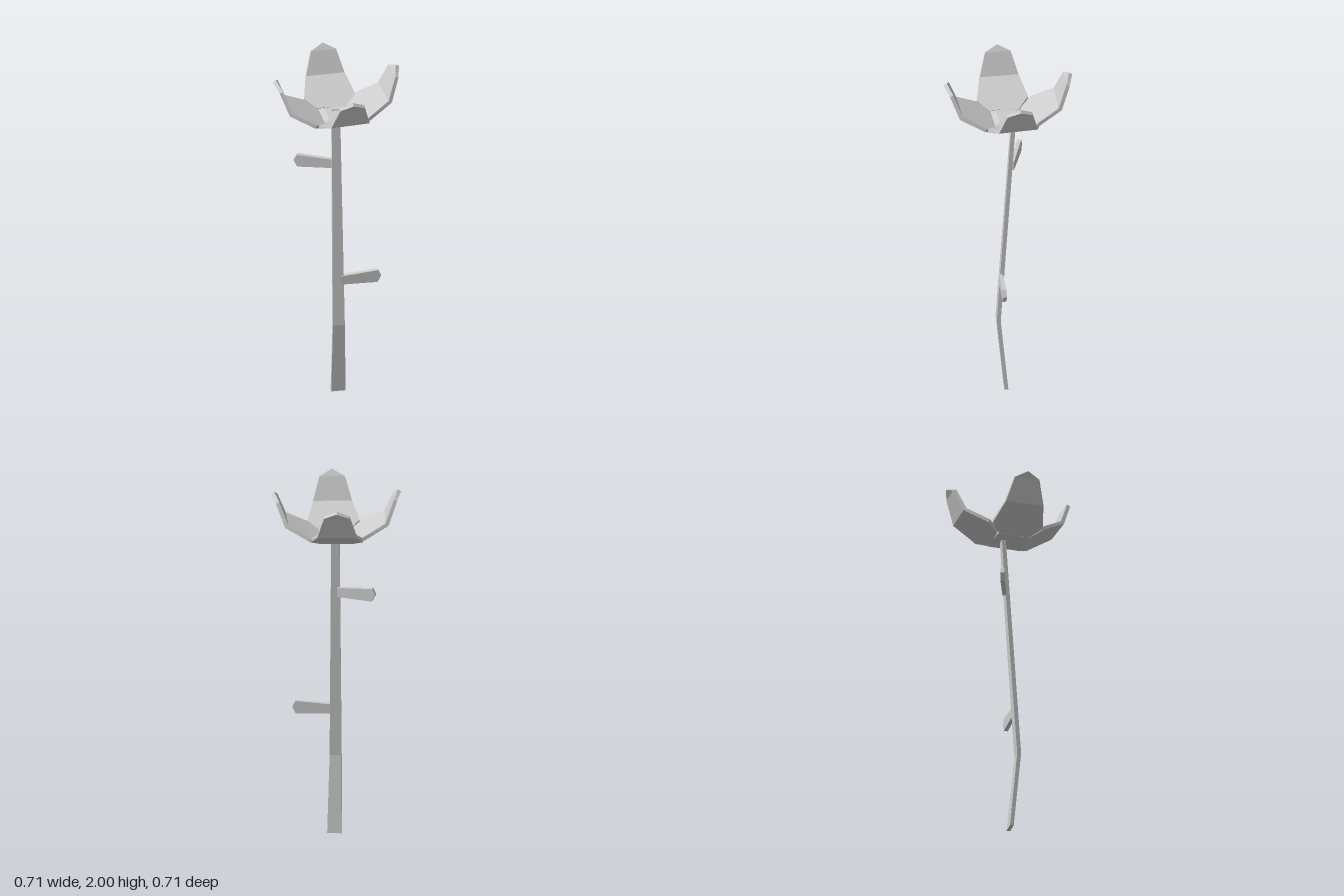
import * as THREE from 'three';

const material = new THREE.MeshStandardMaterial({ color: 0xcccccc, flatShading: true });

// Closed solid through four-cornered rings; corners run counterclockwise seen from the far end
function loft(rings) {
  const pos = [];
  const quad = (a, b, c, d) => pos.push(...a, ...b, ...c, ...a, ...c, ...d);
  for (let i = 0; i < rings.length - 1; i++) {
    const p = rings[i], q = rings[i + 1];
    for (let k = 0; k < 4; k++) {
      const n = (k + 1) % 4;
      quad(p[k], p[n], q[n], q[k]);
    }
  }
  const s = rings[0], e = rings[rings.length - 1];
  quad(s[3], s[2], s[1], s[0]);
  quad(e[0], e[1], e[2], e[3]);
  const geometry = new THREE.BufferGeometry();
  geometry.setAttribute('position', new THREE.Float32BufferAttribute(pos, 3));
  geometry.computeVertexNormals();
  return geometry;
}

// Horizontal rectangle at height y
const rect = (y, x0, x1, z0, z1) => [[x0, y, z1], [x1, y, z1], [x1, y, z0], [x0, y, z0]];

export function createModel() {
  const model = new THREE.Group();
  const add = (name, geometry, parent = model) => {
    const mesh = new THREE.Mesh(geometry, material);
    mesh.name = name;
    parent.add(mesh);
    return mesh;
  };

  // Flat stem with one bend near the foot
  add('stem', loft([
    rect(0, -0.032, 0.048, 0.001, 0.022),
    rect(0.44, -0.03, 0.036, 0.042, 0.064),
    rect(1.757, -0.021, 0.025, -0.045, -0.022),
  ]));

  // Blunt leaves, one on each side of the stem
  const outline = [[0, -0.027], [0.2, -0.031], [0.22, 0.008], [0.202, 0.043], [0, 0.025]];
  const leafGeometry = new THREE.ExtrudeGeometry(
    new THREE.Shape(outline.map(([x, y]) => new THREE.Vector2(x, y))),
    { depth: 0.022, bevelEnabled: false });
  leafGeometry.translate(0, 0, -0.011);
  const lowerLeaf = add('lowerLeaf', leafGeometry);
  lowerLeaf.position.set(0.02, 0.715, 0.04);
  const upperLeaf = add('upperLeaf', leafGeometry);
  upperLeaf.position.set(-0.01, 1.418, -0.025);
  upperLeaf.rotation.y = Math.PI - 0.3;

  // Flower base with a low raised centre
  const flower = new THREE.Group();
  flower.name = 'flower';
  model.add(flower);
  const square = (y, r) => rect(y, -r, r, -r, r);
  const base = add('flowerBase', loft([square(1.72, 0.09), square(1.74, 0.083), square(1.75, 0.053)]), flower);
  base.rotation.y = THREE.MathUtils.degToRad(4.5);

  // Petal rows: half width, inner reach and height, outer reach and height
  const rows = [
    [0.085, 0.083, 1.74, 0.09, 1.72],
    [0.142, 0.144, 1.772, 0.152, 1.753],
    [0.107, 0.268, 1.84, 0.286, 1.827],
    [0.07, 0.316, 1.965, 0.334, 1.956],
    [0.002, 0.338, 2.0, 0.356, 1.988],
  ];
  const petalGeometry = loft(rows.map(([w, zi, yi, zo, yo]) =>
    [[-w, yo, zo], [w, yo, zo], [w, yi, zi], [-w, yi, zi]]));

  // Each petal: turn in degrees and small sideways shift
  const petals = [
    ['frontPetal', 4.5, 0.005],
    ['leftPetal', 95.5, 0.002],
    ['backPetal', 181, 0.008],
    ['rightPetal', 272.5, 0.008],
  ];
  for (const [name, turn, shift] of petals) {
    const petal = add(name, petalGeometry, flower);
    petal.rotation.y = THREE.MathUtils.degToRad(turn);
    petal.translateX(shift);
  }
  return model;
}
